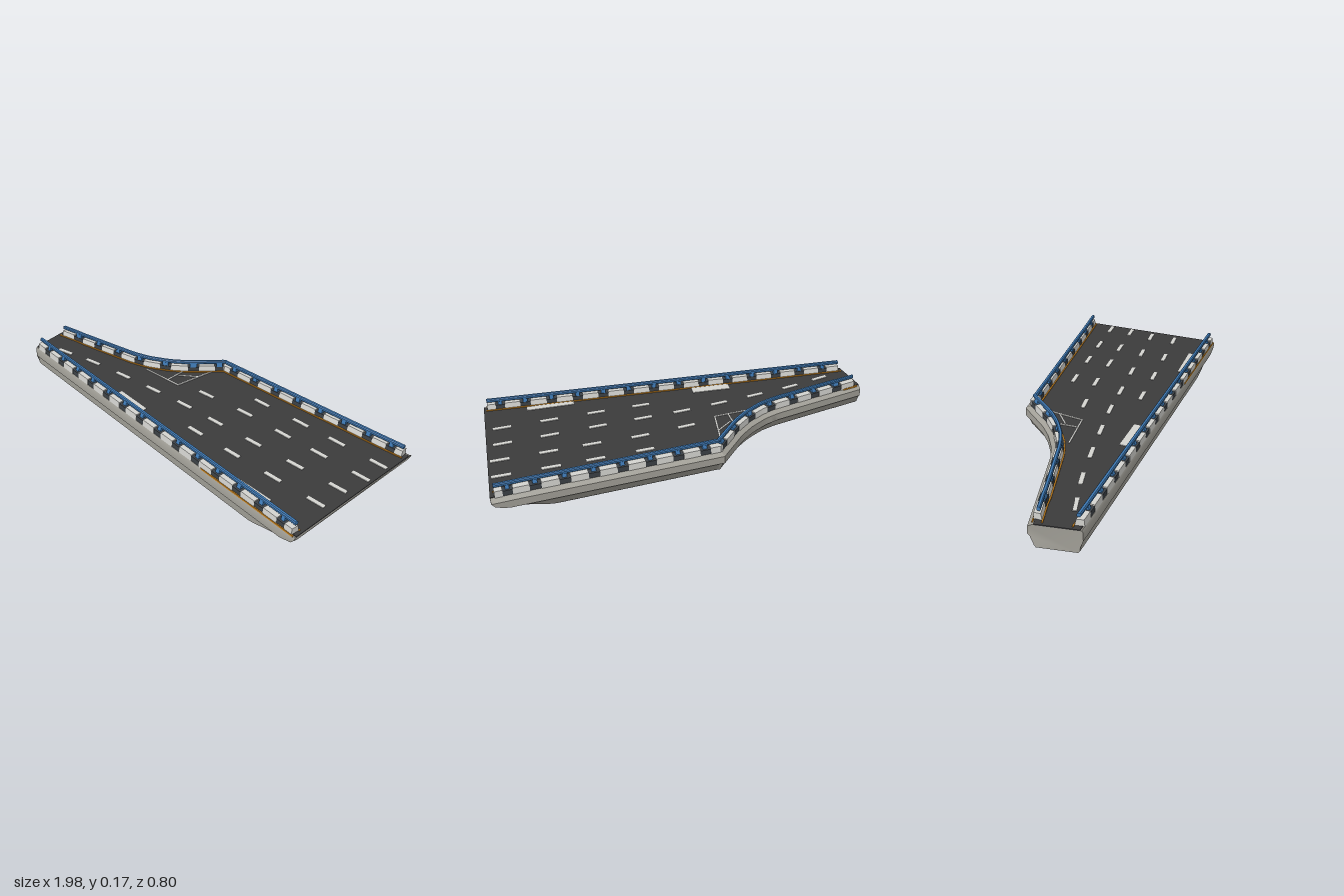
import * as THREE from 'three';
import { toCreasedNormals } from 'three/addons/utils/BufferGeometryUtils.js';

const material = (name, color) => {
  const m = new THREE.MeshStandardMaterial({ color });
  m.name = name;
  return m;
};

// Plan outline: z of the straight front edge and of the bent back edge
const BACK = [[-1, 0.12], [-0.72, 0.053], [-0.5, 0], [-0.42, -0.03], [-0.33, -0.085],
  [-0.26, -0.145], [-0.125, -0.3], [1, -0.405]];
const FRONT = [[-1, 0.35], [1, 0.397]];

function edgeZ(table, x) {
  let i = 0;
  while (i < table.length - 2 && x > table[i + 1][0]) i++;
  const [a, b] = [table[i], table[i + 1]];
  return a[1] + (b[1] - a[1]) * (x - a[0]) / (b[0] - a[0]);
}
const slope = (table, x) => (edgeZ(table, x + 0.025) - edgeZ(table, x - 0.025)) / 0.05;

// Point at a distance inward from an edge, with the bowed ends applied
function at(table, x, inset, y) {
  const s = slope(table, x), l = Math.hypot(1, s), dir = table === FRONT ? -1 : 1;
  const z = edgeZ(table, x) + dir * inset / l;
  const bend = Math.abs(x) > 0.85 ? 1 : 0;
  let px = x - dir * inset * s / l * (1 - bend);
  const k = Math.max(0, (Math.abs(x) - 0.85) / 0.15);
  if (x > 0) px -= 0.025 * (z / 0.4) ** 2 * k;
  else px += 0.035 * Math.max(0, (z - 0.21) / 0.14) * k;
  return [px, y, z];
}

// Skin over closed rings that follow +x, with end caps
function loft(rings, crease = 0.5) {
  const n = rings[0].length, pos = rings.flat(2), idx = [];
  for (let i = 0; i < rings.length - 1; i++) {
    for (let j = 0; j < n; j++) {
      const k = (j + 1) % n, a = i * n + j, b = i * n + k;
      idx.push(a, a + n, b, b, a + n, b + n);
    }
  }
  const e = (rings.length - 1) * n;
  for (let j = 1; j < n - 1; j++) idx.push(0, j, j + 1, e, e + j + 1, e + j);
  const g = new THREE.BufferGeometry();
  g.setAttribute('position', new THREE.Float32BufferAttribute(pos, 3));
  g.setIndex(idx);
  return toCreasedNormals(g, crease);
}

function stations(x0, x1, step = 0.025) {
  const n = Math.max(1, Math.ceil((x1 - x0) / step));
  return Array.from({ length: n + 1 }, (_, i) => x0 + (x1 - x0) * i / n);
}

// Bar of constant section following an edge
function bar(table, x0, x1, section) {
  const s = table === FRONT ? section : [...section].reverse();
  return loft(stations(x0, x1).map(x => s.map(([o, y]) => at(table, x, o, y))));
}
const rect = (o0, o1, y0, y1) => [[o0, y0], [o0, y1], [o1, y1], [o1, y0]];

export function createModel() {
  const root = new THREE.Group();
  root.name = 'roadSegment';
  const concrete = material('concrete', 0xa19f97);
  const asphalt = material('asphalt', 0x3b3b3c);
  const white = material('white paint', 0xd4d4d0);
  const dark = material('dark block', 0x3d4247);
  const blue = material('blue rail', 0x3d78b3);
  const orange = material('orange edging', 0xc98420);
  const add = (name, geo, mat, parent = root) => {
    const m = new THREE.Mesh(geo, mat);
    m.name = name;
    parent.add(m);
    return m;
  };

  // Hull with overhanging lip and raked underside at the wide end
  const low = x => x < 0.68 ? 0 : x < 0.98 ? (x - 0.68) * 0.25 : 0.075 + (x - 0.98) * 1.1;
  const xs = [...stations(-1, 0.975), 0.98, 0.99, 1];
  add('bridgeBody', loft(xs.map(x => {
    const y0 = low(x);
    const lift = (y, gap) => Math.max(y, y0 + gap);
    return [
      at(FRONT, x, 0.02, y0), at(FRONT, x, 0.013, lift(0.008, 0.001)),
      at(FRONT, x, 0.011, lift(0.05, 0.002)), at(FRONT, x, 0, lift(0.06, 0.003)),
      at(FRONT, x, 0, lift(0.1, 0.004)), at(FRONT, x, 0.006, 0.112),
      at(BACK, x, 0.026, 0.112), at(BACK, x, 0.002, lift(0.098, 0.004)),
      at(BACK, x, 0, lift(0.06, 0.003)), at(BACK, x, 0.012, lift(0.05, 0.002)),
      at(BACK, x, 0.03, lift(0.008, 0.001)), at(BACK, x, 0.038, y0),
    ];
  })), concrete);

  // Road surface
  add('roadDeck', loft(xs.map(x => [
    at(FRONT, x, 0.012, 0.11), at(FRONT, x, 0.012, 0.115),
    at(BACK, x, 0.03, 0.115), at(BACK, x, 0.03, 0.11),
  ])), asphalt);

  // Barriers: alternating blocks, edging and a railing on posts
  for (const [name, table, o] of [['front', FRONT, 0.004], ['back', BACK, 0.022]]) {
    const side = new THREE.Group();
    side.name = name + 'Barrier';
    root.add(side);
    const advance = (x, d) => {
      for (let i = 0; i < 8; i++) x += d / 8 / Math.hypot(1, slope(table, x));
      return x;
    };
    for (let x = -0.965; x < 0.95;) {
      const mid = Math.min(advance(x, 0.082), 0.975), end = Math.min(advance(mid, 0.053), 0.975);
      add('whiteBlock', bar(table, x, mid,
        [[o, 0.113], [o + 0.003, 0.146], [o + 0.035, 0.146], [o + 0.042, 0.113]]), white, side);
      if (end - mid > 0.005) {
        add('darkBlock', bar(table, mid, end, rect(o + 0.003, o + 0.038, 0.113, 0.14)), dark, side);
        // Post with a wide foot and slim neck
        const px = (mid + end) / 2, w = 0.011;
        add('railPost', bar(table, px - w, px + w,
          [[o + 0.012, 0.138], [o + 0.021, 0.162], [o + 0.031, 0.162], [o + 0.036, 0.138]]), blue, side);
      }
      x = end;
    }
    add('handrail', bar(table, -0.962, 0.975, [[o + 0.016, 0.16], [o + 0.016, 0.169], [o + 0.02, 0.174],
      [o + 0.03, 0.174], [o + 0.034, 0.169], [o + 0.034, 0.16], [o + 0.03, 0.156], [o + 0.02, 0.156]]), blue, side);
    add('innerEdging', bar(table, -0.98, 0.98, rect(o + 0.04, o + 0.047, 0.113, 0.119)), orange, side);
    add('outerEdging', bar(table, name === 'front' ? 0.4 : -0.985, name === 'front' ? 0.985 : -0.9,
      rect(o - 0.002, o + 0.004, 0.108, 0.117)), orange, side);
  }

  // Lane dashes as [x, z] along each lane
  const lanes = [
    [[0.24, -0.18], [0.48, -0.198], [0.69, -0.212], [0.92, -0.225]],
    [[0, -0.028], [0.24, -0.06], [0.48, -0.072], [0.69, -0.086], [0.92, -0.1]],
    [[-0.815, 0.258], [-0.63, 0.21], [-0.42, 0.172], [-0.215, 0.14], [-0.01, 0.112],
      [0.195, 0.095], [0.43, 0.075], [0.67, 0.053], [0.9, 0.033]],
    [[0.185, 0.215], [0.42, 0.203], [0.66, 0.188], [0.895, 0.172]],
  ];
  const strip = (name, x, z, length, width, angle) => {
    const m = add(name, new THREE.BoxGeometry(length, 0.005, width), white);
    m.position.set(x, 0.1155, z);
    m.rotation.y = angle;
  };
  for (const lane of lanes) lane.forEach(([x, z], i) => {
    const a = lane[Math.max(0, i - 1)], b = lane[Math.min(lane.length - 1, i + 1)];
    strip('laneDash', x, z, 0.09, 0.019, Math.atan2(a[1] - b[1], b[0] - a[0]));
  });

  // Painted bays beside the front barrier
  strip('paintedBay', -0.21, 0.297, 0.2, 0.055, -0.02);
  strip('paintedBay', 0.64, 0.322, 0.24, 0.034, 0.02);

  // Thin lines of the closed wedge by the bend
  for (const [x0, z0, x1, z1] of [[-0.38, 0.045, -0.16, 0.022], [-0.16, 0.022, -0.132, -0.205],
    [-0.238, -0.105, -0.232, 0.028], [-0.145, -0.105, -0.225, -0.04]]) {
    strip('wedgeLine', (x0 + x1) / 2, (z0 + z1) / 2, Math.hypot(x1 - x0, z1 - z0), 0.006,
      Math.atan2(z0 - z1, x1 - x0));
  }
  return root;
}
